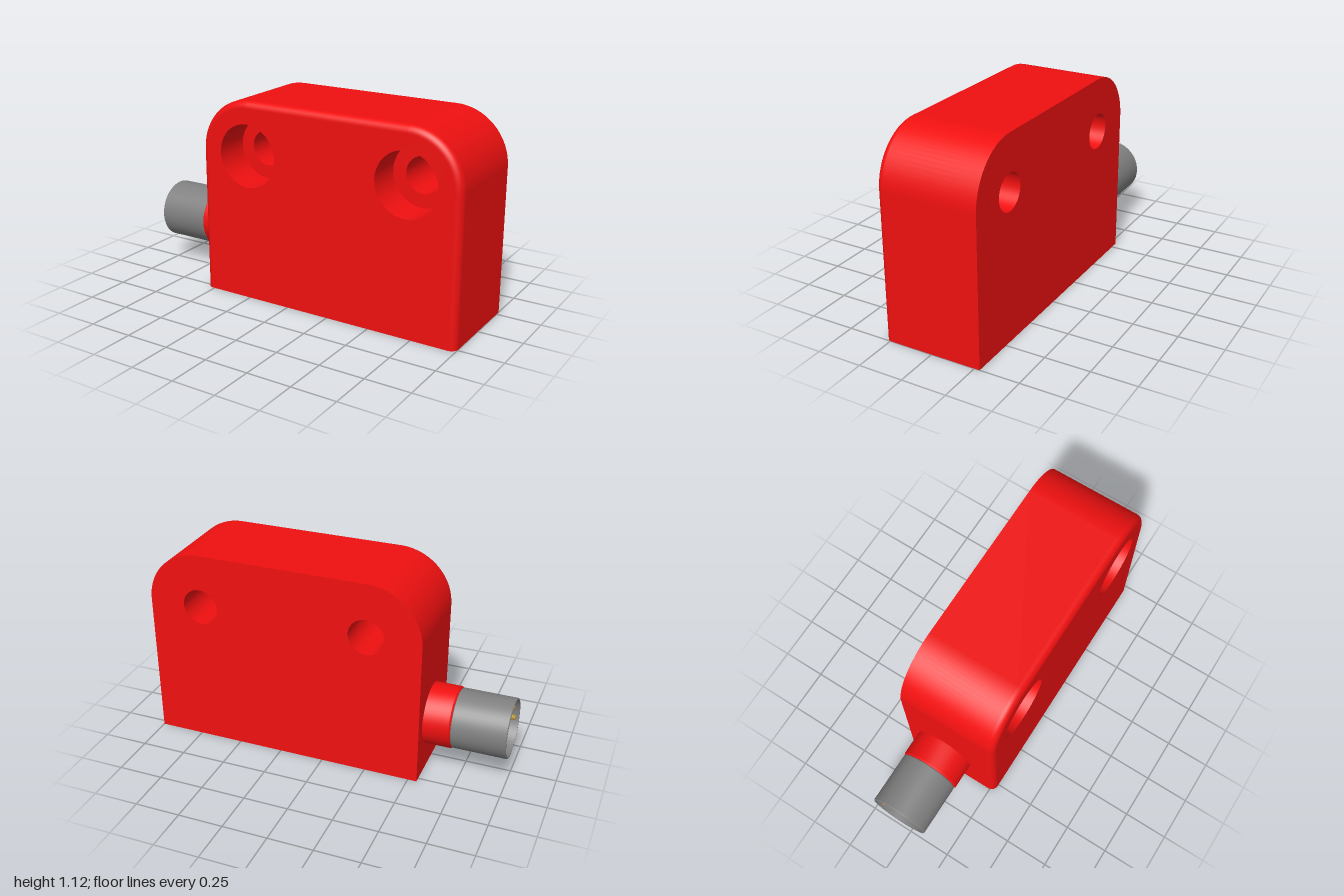
import * as THREE from 'three';
import { toCreasedNormals } from 'three/addons/utils/BufferGeometryUtils.js';

const RED = new THREE.MeshStandardMaterial({ color: 0xf01010 });
const GREY = new THREE.MeshStandardMaterial({ color: 0x808080 });
const GOLD = new THREE.MeshStandardMaterial({ color: 0xb8902a });

const LEFT = 1, RIGHT = -0.55, BACK = -0.28, FRONT = 0.28;
const CORNER = 0.3, FILLET = 0.04, TOP = 1.12;
const HOLE_Y = TOP - CORNER, HOLES_X = [LEFT - CORNER, RIGHT + CORNER];
const HOLE_R = 0.1, BORE_R = 0.175, BORE_FLOOR = 0.08;

function mesh(name, geometry, material) {
  const m = new THREE.Mesh(geometry, material);
  m.name = name;
  return m;
}

function lathe(points, segments = 48) {
  const pts = points.map(([r, y]) => new THREE.Vector2(r, y));
  return toCreasedNormals(new THREE.LatheGeometry(pts, segments), 0.6);
}

// Housing outline: straight sides, two rounded top corners; each point has its normal angle
function outline(inset) {
  const r = CORNER - inset, pts = [{ x: LEFT - inset, y: 0, a: 0 }];
  HOLES_X.forEach((cx, i) => {
    for (let k = 0; k <= 20; k++) {
      const a = (i + k / 20) * Math.PI / 2;
      pts.push({ x: cx + r * Math.cos(a), y: HOLE_Y + r * Math.sin(a), a });
    }
  });
  pts.push({ x: RIGHT + inset, y: 0, a: Math.PI });
  return pts;
}

// Flat face with two round holes; flip = -1 mirrors it in x
function face(inset, holeR, flip) {
  const shape = new THREE.Shape(outline(inset).map(p => new THREE.Vector2(flip * p.x, p.y)));
  for (const x of HOLES_X) {
    shape.holes.push(new THREE.Path().absarc(flip * x, HOLE_Y, holeR, 0, Math.PI * 2, true));
  }
  return new THREE.ShapeGeometry(shape, 24);
}

// Side and top wall, rolling over into the front face through the fillet
function wall() {
  const rows = [{ inset: 0, z: BACK, t: 0 }];
  for (let k = 0; k <= 8; k++) {
    const t = k / 8 * Math.PI / 2;
    rows.push({ inset: FILLET * (1 - Math.cos(t)), z: FRONT - FILLET + FILLET * Math.sin(t), t });
  }
  const pos = [], nor = [], idx = [], n = outline(0).length;
  rows.forEach(({ inset, z, t }, j) => outline(inset).forEach((p, i) => {
    pos.push(p.x, p.y, z);
    nor.push(Math.cos(p.a) * Math.cos(t), Math.sin(p.a) * Math.cos(t), Math.sin(t));
    if (j && i) {
      const d = j * n + i, c = d - 1, b = d - n, a = b - 1;
      idx.push(a, b, d, a, d, c);
    }
  }));
  const g = new THREE.BufferGeometry();
  g.setAttribute('position', new THREE.Float32BufferAttribute(pos, 3));
  g.setAttribute('normal', new THREE.Float32BufferAttribute(nor, 3));
  g.setIndex(idx);
  return g;
}

// Flat base with the two front corners rounded
function base() {
  const s = new THREE.Shape();
  s.moveTo(RIGHT, BACK);
  s.lineTo(LEFT, BACK);
  s.absarc(LEFT - FILLET, FRONT - FILLET, FILLET, 0, Math.PI / 2);
  s.absarc(RIGHT + FILLET, FRONT - FILLET, FILLET, Math.PI / 2, Math.PI);
  return new THREE.ShapeGeometry(s, 8).rotateX(Math.PI / 2);
}

function createHousing() {
  const g = new THREE.Group();
  g.name = 'housing';
  g.add(mesh('housingWall', wall(), RED));
  g.add(mesh('housingFront', face(FILLET, BORE_R, 1).translate(0, 0, FRONT), RED));
  g.add(mesh('housingBack', face(0, HOLE_R, -1).rotateY(Math.PI).translate(0, 0, BACK), RED));
  g.add(mesh('housingBase', base(), RED));
  // Counterbored mounting holes
  const bore = lathe([[BORE_R, FRONT], [BORE_R, BORE_FLOOR], [HOLE_R, BORE_FLOOR], [HOLE_R, BACK]]);
  bore.rotateX(Math.PI / 2);
  for (const x of HOLES_X) {
    const m = mesh('mountingHole', bore, RED);
    m.position.set(x, HOLE_Y, 0);
    g.add(m);
  }
  return g;
}

// Plug on the right side, turned so its axis runs towards -x
function createConnector() {
  const g = new THREE.Group();
  g.name = 'connector';
  g.add(mesh('connectorCollar', lathe([[0.17, 0.55], [0.17, 0.692], [0.162, 0.7], [0, 0.7]]), RED));
  g.add(mesh('connectorSleeve', lathe([
    [0.158, 0.697], [0.165, 0.704], [0.165, 0.996], [0.162, 1],
    [0.155, 1], [0.155, 0.72], [0, 0.72],
  ]), GREY));
  // Four contact pins spread over the upper half circle
  const pin = lathe([[0.014, 0.72], [0.014, 0.98], [0.01, 0.988], [0, 0.992]], 16);
  for (let k = 0; k < 4; k++) {
    const a = k * Math.PI / 3, m = mesh('contactPin', pin, GOLD);
    m.position.set(0.11 * Math.sin(a), 0, 0.11 * Math.cos(a));
    g.add(m);
  }
  g.rotation.z = Math.PI / 2;
  g.position.set(0, 0.305, -0.047);
  return g;
}

export function createModel() {
  const model = new THREE.Group();
  model.name = 'sensorBlock';
  model.add(createHousing(), createConnector());
  return model;
}
